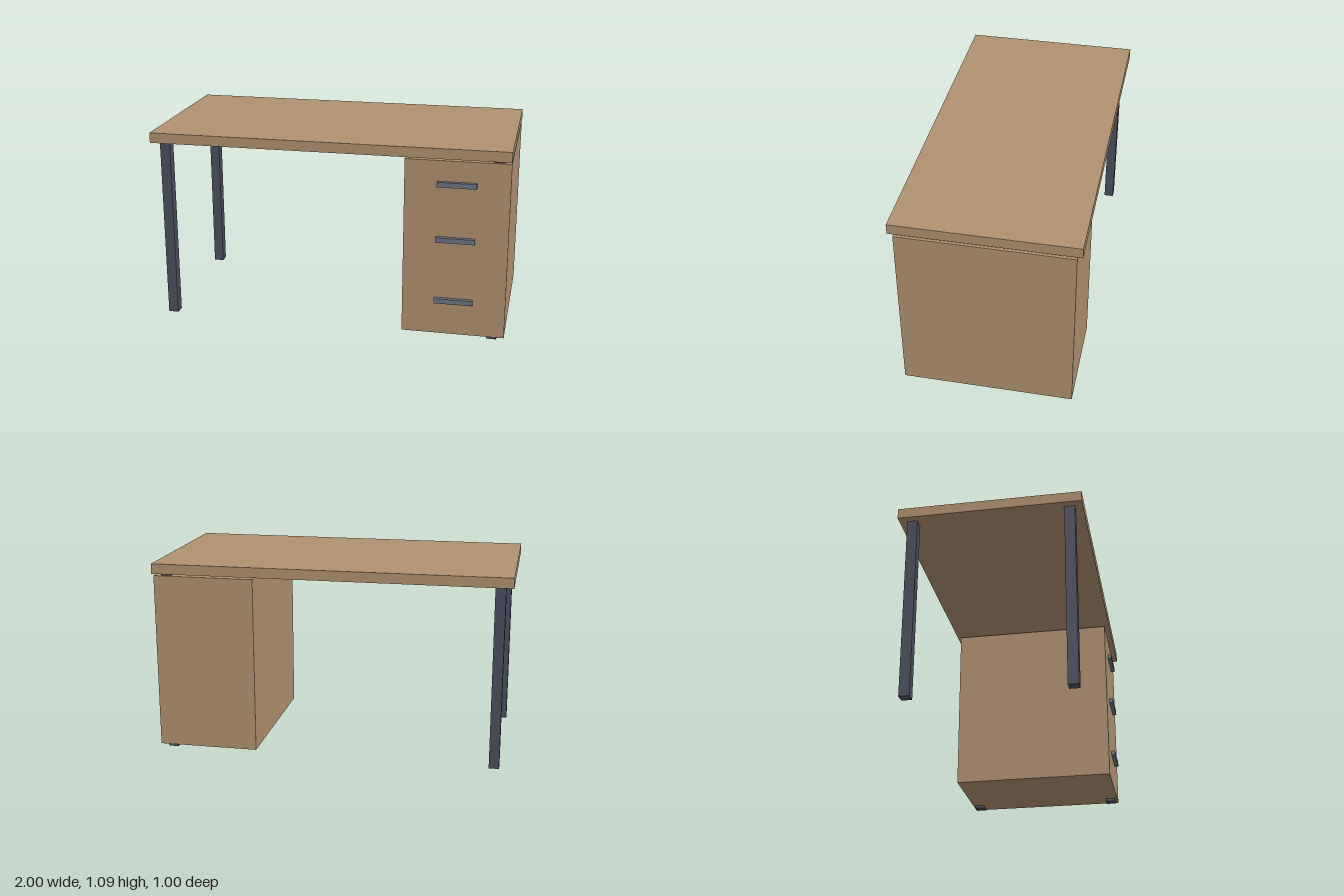
import * as THREE from 'three';

function material(name, color) {
  const m = new THREE.MeshStandardMaterial({ color });
  m.name = name;
  return m;
}

export function createModel() {
  const wood = material('wood', 0xb09170);
  const legMetal = material('dark metal', 0x4a4f5e);
  const handleMetal = material('handle metal', 0x6c7583);
  const desk = new THREE.Group();
  desk.name = 'desk';

  // Box given by its size and centre
  const box = (name, mat, [w, h, d], [x, y, z]) => {
    const mesh = new THREE.Mesh(new THREE.BoxGeometry(w, h, d), mat);
    mesh.name = name;
    mesh.position.set(x, y, z);
    desk.add(mesh);
  };

  // Worktop
  box('worktop', wood, [2, 0.057, 1], [0, 1.0615, 0]);

  // Four square legs; those on the left run through the cabinet
  for (const x of [-1, 1]) {
    for (const z of [-1, 1]) {
      const name = (z > 0 ? 'front' : 'back') + (x > 0 ? 'Left' : 'Right') + 'Leg';
      box(name, legMetal, [0.057, 1.033, 0.057], [x * 0.929, 0.5165, z * 0.429]);
    }
  }

  // Drawer cabinet
  box('cabinet', wood, [0.571, 1, 0.943], [0.7135, 0.517, 0]);

  // Drawer handles
  [['top', 0.888], ['middle', 0.574], ['bottom', 0.217]].forEach(([level, y]) =>
    box(level + 'DrawerHandle', handleMetal, [0.214, 0.028, 0.023], [0.7135, y, 0.483]));

  return desk;
}
